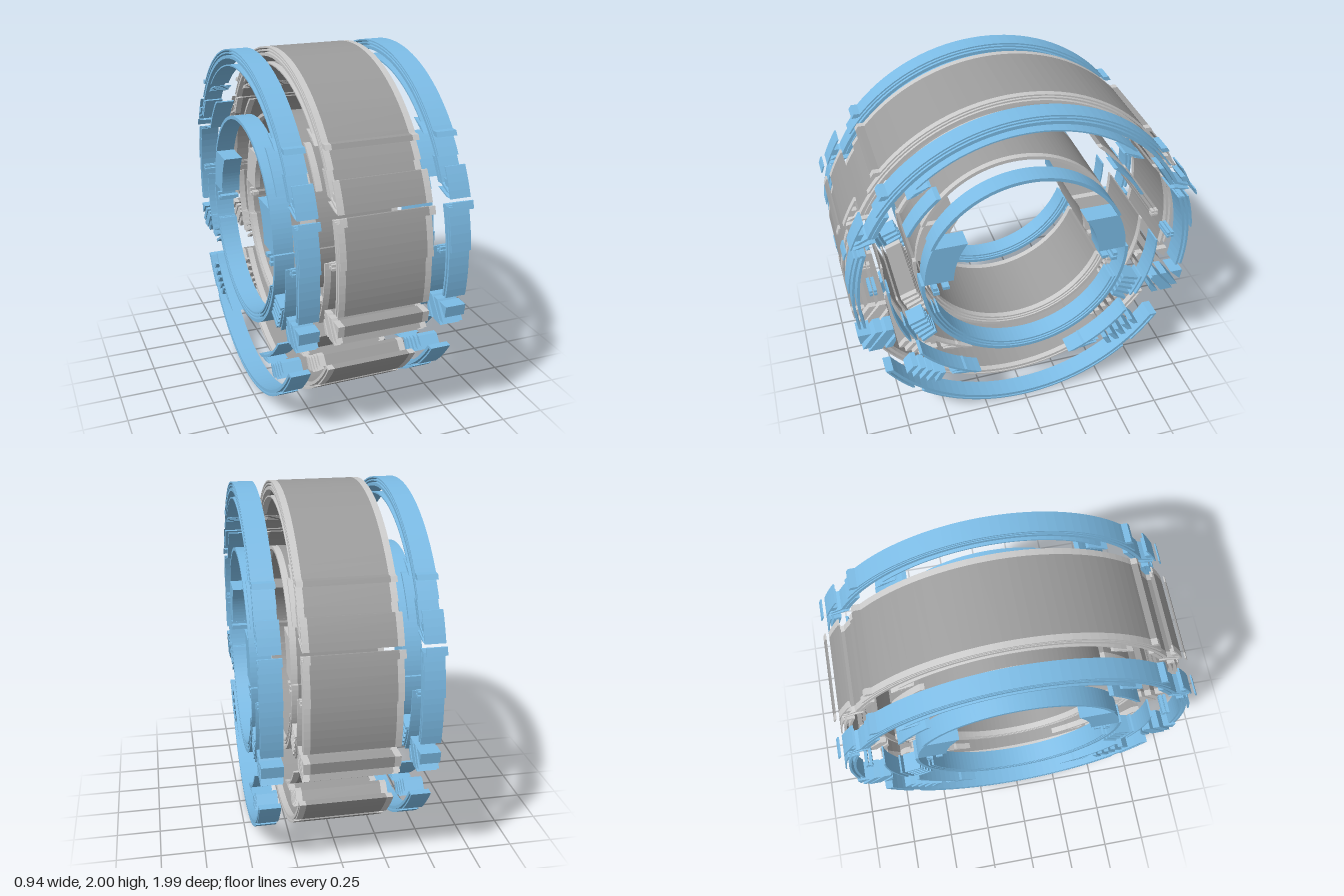
import * as THREE from 'three';

const MID = 1;      // height of the outer rings' centre
const HUB = 1.03;   // height of the inner rings' centre

const polygon = pts => new THREE.Shape(pts.map(([z, y]) => new THREE.Vector2(z, y)));
const mirrored = pts => [polygon(pts), polygon(pts.map(([z, y]) => [-z, y]))];

// Points along a circle from one angle to another
function sweep(cy, r, a, b) {
  const n = Math.max(3, Math.ceil(Math.abs(b - a) / 0.05));
  return Array.from({ length: n + 1 }, (_, i) => {
    const t = a + (b - a) * i / n;
    return [r * Math.cos(t), cy + r * Math.sin(t)];
  });
}
const angleAt = (cy, r, y) => Math.asin((y - cy) / r);

// A pair of curved strips, cut level at heights y0 and y1
function sideArcs(cy, r0, r1, y0, y1) {
  return mirrored([
    ...sweep(cy, r1, angleAt(cy, r1, y0), angleAt(cy, r1, y1)),
    ...sweep(cy, r0, angleAt(cy, r0, y1), angleAt(cy, r0, y0))]);
}

// One strip running over the top, or under the bottom, down or up to height y
function archArc(cy, r0, r1, y, under = false) {
  const far = a => (under ? -Math.PI - a : Math.PI - a);
  const a1 = angleAt(cy, r1, y), a0 = angleAt(cy, r0, y);
  return [polygon([...sweep(cy, r1, a1, far(a1)), ...sweep(cy, r0, far(a0), a0)])];
}

// A pair of slanted bars with level ends of width w
const bars = (zTop, yTop, zBot, yBot, w) => mirrored([
  [zTop, yTop], [zTop - w, yTop], [zBot - w, yBot], [zBot, yBot]]);

const boxes = (z0, z1, y0, y1) => mirrored([[z0, y0], [z1, y0], [z1, y1], [z0, y1]]);

// A pair of short bars pointing away from the hub
function radialBars(deg, r0, r1, w) {
  const t = deg * Math.PI / 180, c = Math.cos(t), s = Math.sin(t), h = w / 2;
  return mirrored([[r0, -h], [r1, -h], [r1, h], [r0, h]]
    .map(([r, k]) => [r * c - k * s, HUB + r * s + k * c]));
}

function buildParts() {
  const range = n => Array.from({ length: n }, (_, i) => i);
  return {
    upperOuterArcs: [
      ...archArc(MID, 0.992, 1.0, 1.66),
      ...archArc(MID, 0.975, 0.984, 1.56),
      ...archArc(MID, 0.948, 0.966, 1.43),
      ...archArc(MID, 0.906, 0.914, 1.69)],
    shoulderStrips: [
      ...sideArcs(MID, 0.922, 0.944, 1.43, 1.55),
      ...sideArcs(MID, 1.02, 1.028, 1.38, 1.53),
      ...sideArcs(MID, 1.04, 1.048, 1.33, 1.37),
      ...bars(0.77, 1.68, 0.785, 1.655, 0.035)],
    shoulderHatching: [
      ...bars(0.91, 1.47, 0.93, 1.435, 0.035),
      ...bars(0.86, 1.44, 0.94, 1.405, 0.03),
      ...bars(0.85, 1.405, 0.94, 1.38, 0.03)],
    upperHatching: range(4).flatMap(i =>
      bars(0.53 + i * 0.022, 1.692 - i * 0.013, 0.612 + i * 0.01, 1.66 - i * 0.008, 0.014)),
    sideArcs: [
      ...sideArcs(MID, 0.99, 0.998, 1.1, 1.33),
      ...sideArcs(MID, 0.965, 0.978, 0.83, 1.33),
      ...sideArcs(MID, 0.938, 0.952, 0.83, 1.33),
      ...sideArcs(MID, 0.95, 0.967, 1.32, 1.335)],
    sideDots: range(4).flatMap(i => {
      const z = 0.842 + (i % 2) * 0.024, y = 1.052 + (i >> 1) * 0.021;
      return boxes(z, z + 0.017, y, y + 0.014);
    }),
    // Broad diagonal stripes trimmed to a leaning block
    sideHatching: [
      ...mirrored([[0.975, 0.78], [0.90, 0.78], [0.965, 0.715]]),
      ...bars(0.875, 0.78, 0.955, 0.675, 0.04),
      ...bars(0.815, 0.78, 0.925, 0.65, 0.04),
      ...mirrored([[0.79, 0.775], [0.772, 0.755], [0.85, 0.65], [0.89, 0.65]]),
      ...mirrored([[0.77, 0.725], [0.768, 0.695], [0.79, 0.65], [0.83, 0.65]])],
    middleArcs: [
      ...sideArcs(HUB, 0.775, 0.784, 0.66, 1.05),
      ...sideArcs(HUB, 0.745, 0.755, 0.66, 0.79),
      ...sideArcs(HUB, 0.742, 0.758, 1.4, 1.605)],
    middleHatching: range(5).flatMap(i => radialBars(-20 - i * 3, 0.63, 0.73, 0.015)),
    hubArcs: [
      ...archArc(HUB, 0.578, 0.597, 1.28),
      ...archArc(HUB, 0.584, 0.603, 1.05, true),
      ...archArc(HUB, 0.566, 0.574, 0.84, true),
      ...archArc(HUB, 0.545, 0.555, 0.84, true)],
    hubBlocks: sideArcs(HUB, 0.423, 0.586, 1.05, 1.285),
    hubDots: [
      ...boxes(0.515, 0.54, 0.995, 1.015),
      ...boxes(0.505, 0.54, 0.965, 0.985),
      ...boxes(0.447, 0.485, 0.993, 1.012)],
    lowerInnerArcs: [
      ...sideArcs(HUB, 0.79, 0.804, 0.29, 0.545),
      ...bars(0.47, 0.345, 0.41, 0.335, 0.045),
      ...bars(0.46, 0.325, 0.38, 0.305, 0.05)],
    lowerHatching: [
      ...bars(0.685, 0.455, 0.725, 0.41, 0.03),
      ...bars(0.64, 0.425, 0.69, 0.37, 0.03),
      ...bars(0.60, 0.395, 0.65, 0.34, 0.03),
      ...bars(0.56, 0.37, 0.61, 0.31, 0.03),
      ...bars(0.525, 0.35, 0.56, 0.29, 0.03)],
    lowerOuterArcs: [
      ...archArc(MID, 0.965, 0.982, 0.46, true),
      ...archArc(MID, 0.991, 1.0, 0.235, true),
      ...sideArcs(MID, 0.994, 1.003, 0.28, 0.46),
      ...sideArcs(MID, 0.98, 0.996, 0.445, 0.46)],
  };
}

export function createModel() {
  const model = new THREE.Group();
  const parts = buildParts();

  // Each layer repeats the whole pattern between two x positions
  const layer = (name, x0, x1, color) => {
    const group = new THREE.Group();
    group.name = name;
    const material = new THREE.MeshStandardMaterial({ color });
    for (const [part, shapes] of Object.entries(parts)) {
      const geometry = new THREE.ExtrudeGeometry(shapes, { depth: x1 - x0, bevelEnabled: false });
      geometry.rotateY(-Math.PI / 2).translate(x1, 0, 0);
      const mesh = new THREE.Mesh(geometry, material);
      mesh.name = part;
      group.add(mesh);
    }
    model.add(group);
  };

  layer('leftPlate', 0.35, 0.465, 0x7cbce6);
  layer('rightPlate', -0.47, -0.36, 0x7cbce6);
  layer('core', -0.225, 0.215, 0x9c9c9c);
  layer('coreLeftRim', 0.215, 0.25, 0xcccccc);
  layer('coreRightRim', -0.26, -0.225, 0xcccccc);
  return model;
}
